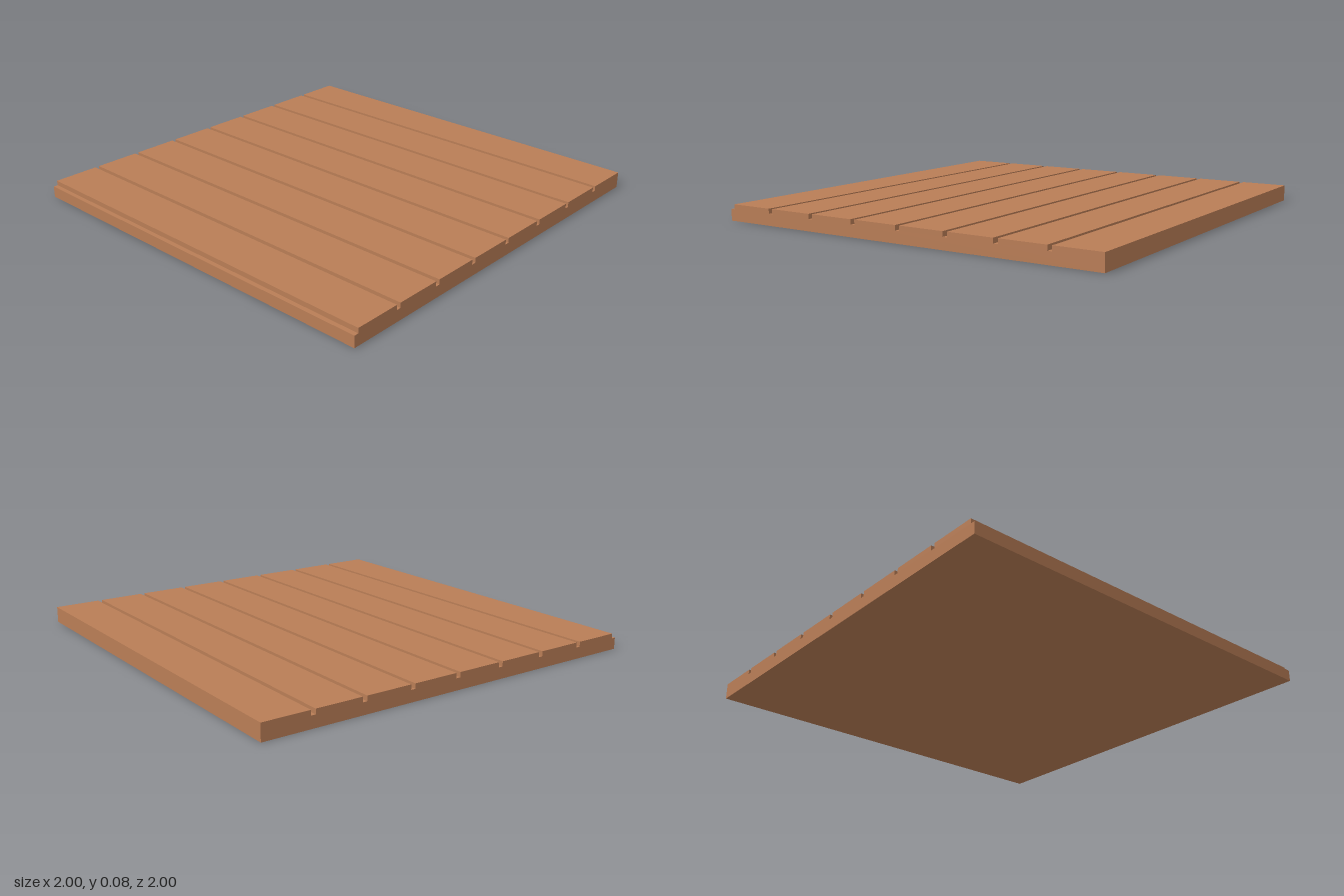
import * as THREE from 'three';

export function createModel() {
  const group = new THREE.Group();
  group.name = 'plankFloor';
  const planks = 8, pitch = 2 / planks, groove = 0.022;
  const top = 0.08, grooveFloor = 0.056;

  // Side profile: a slab with a square groove along the front edge of every plank
  const profile = new THREE.Shape();
  profile.moveTo(-1, 0);
  profile.lineTo(1, 0);
  for (let i = planks; i > 0; i--) {
    const front = -1 + i * pitch;
    profile.lineTo(front, grooveFloor);
    profile.lineTo(front - groove, grooveFloor);
    profile.lineTo(front - groove, top);
    profile.lineTo(front - pitch, top);
  }
  profile.closePath();

  // Run the profile across the full width, with its length along z
  const geometry = new THREE.ExtrudeGeometry(profile, { depth: 2, bevelEnabled: false });
  geometry.translate(0, 0, -1);
  geometry.rotateY(-Math.PI / 2);

  const boards = new THREE.Mesh(geometry, new THREE.MeshStandardMaterial({ color: 0xb97d56 }));
  boards.name = 'groovedPlanks';
  group.add(boards);
  return group;
}
